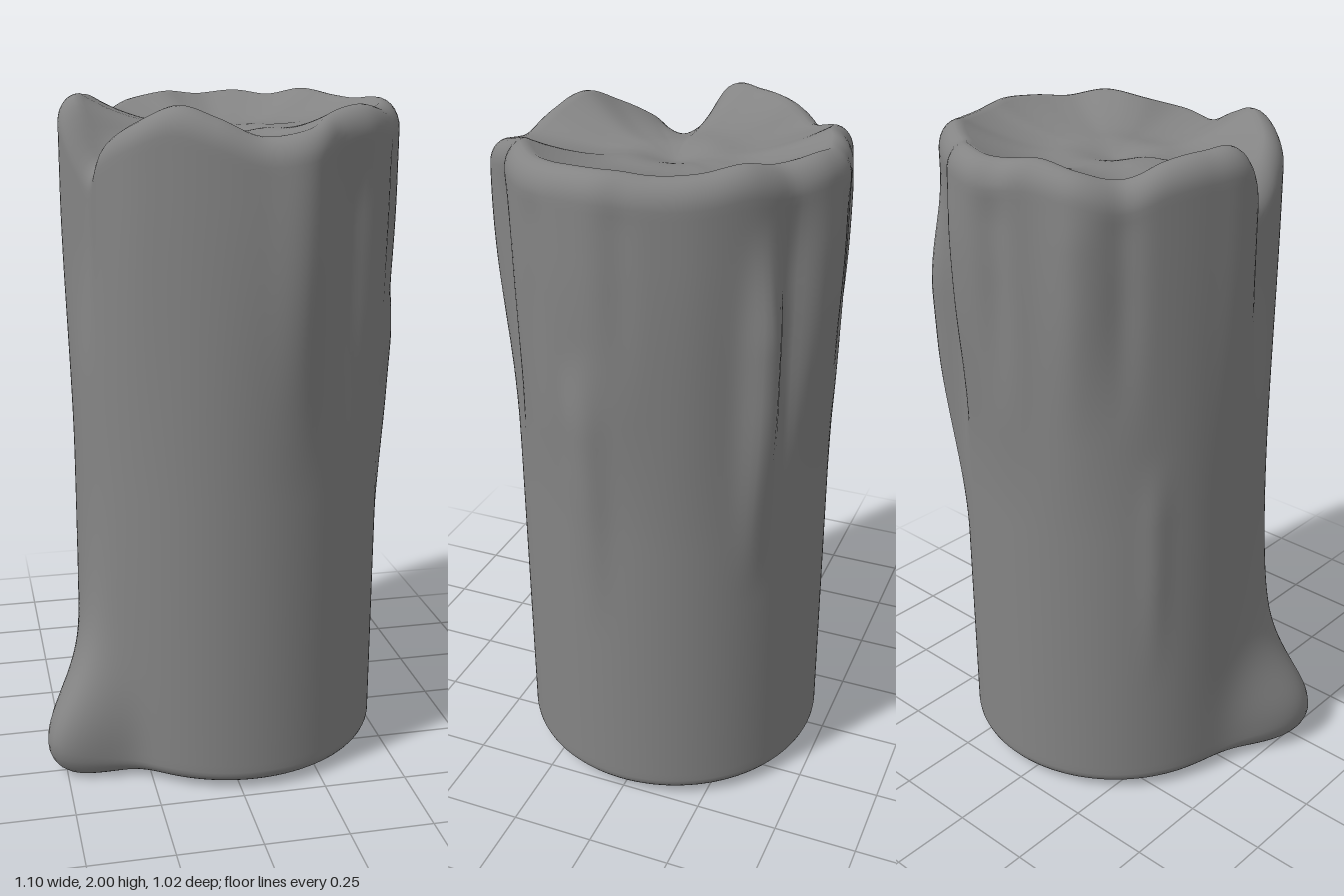
import * as THREE from 'three';
import { mergeVertices } from 'three/addons/utils/BufferGeometryUtils.js';

const CX = 0.047, RADIUS = 0.468, SEG = 180, BASE = 0.018, POOL = 1.893;

// Values every 15 degrees, starting at +x and turning toward +z
const topRadius = [0.505, 0.499, 0.497, 0.487, 0.474, 0.515, 0.49, 0.477, 0.475, 0.48, 0.468, 0.455,
  0.488, 0.475, 0.475, 0.488, 0.497, 0.482, 0.515, 0.507, 0.485, 0.49, 0.493, 0.492];
const rimHeight = [1.985, 1.98, 1.97, 1.985, 1.965, 1.93, 1.915, 1.96, 1.992, 1.95, 1.895, 1.82,
  1.985, 1.995, 1.98, 1.94, 1.965, 1.985, 1.975, 1.985, 1.975, 1.995, 1.98, 1.975];

// Wax runs and grooves: angle, angular width, lower y, upper y, depth (+ out, - in)
const runs = [
  [8, 4, 0.55, 1.45, 0.02], [14, 3, 0.7, 1.4, 0.01], [27, 4, 1.2, 1.95, -0.013],
  [52, 5, 0.9, 1.95, -0.025], [62, 4, 1.2, 1.9, -0.01], [78, 6, 1.1, 1.95, 0.008],
  [-5, 4, 1.3, 1.95, -0.01], [-51, 4.5, 0.7, 1.8, 0.05], [-61, 3.5, 0.9, 1.93, -0.025],
  [-74, 5, 1.1, 1.9, 0.012], [-92, 4, 1.2, 1.95, -0.025], [-120, 5, 1.2, 1.9, 0.012],
  [-135, 4, 1.2, 1.95, -0.015], [-146, 3.5, 0.35, 1.1, 0.009], [163, 6, 1.2, 1.9, -0.015],
];

const smooth = THREE.MathUtils.smoothstep;
const angleDiff = (a, b) => ((a - b + 540) % 360 + 360) % 360 - 180;

// Smooth periodic interpolation of a ring table
function ring(table, deg) {
  const n = table.length, f = deg / 360 * n, i = Math.floor(f), t = f - i;
  const [a, b, c, d] = [-1, 0, 1, 2].map(k => table[(i + k + n) % n]);
  return b + 0.5 * t * (c - a + t * (2 * a - 5 * b + 4 * c - d + t * (3 * (b - c) + d - a)));
}

// Foot of spilled wax: share of its full reach at an angle, and reach at a height
function spillShare(deg) {
  const d = angleDiff(deg, 154);
  return Math.exp(-0.5 * (d / (d > 0 ? 12.5 : 8.5)) ** 2);
}
function spill(deg, y) {
  const up = Math.max(0, y - 0.1);
  return 0.19 * spillShare(deg) * (0.72 * Math.exp(-((up / 0.21) ** 2)) + 0.28 * Math.exp(-((up / 0.5) ** 2)));
}

function sideRadius(deg, y) {
  let r = RADIUS + (ring(topRadius, deg) - RADIUS) * smooth(y, 0.9, 1.75) + spill(deg, y);
  for (const [angle, width, y0, y1, depth] of runs) {
    const mid = y0 + (y1 - y0) * 0.6;
    const along = smooth(y, y0, mid) * (1 - smooth(y, mid + 0.15, y1 + 0.08));
    r += depth * along * Math.exp(-0.5 * (angleDiff(deg, angle) / width) ** 2);
  }
  return r;
}

// Each row returns [radius, height] for an angle, from under the base to the pool centre
function buildRows() {
  const rows = [], lip = 0.06, lipDrop = 0.075;
  const floor = deg => BASE * (1 - spillShare(deg));
  const edge = deg => 0.04 + 0.06 * spillShare(deg);
  for (let i = 0; i <= 6; i++)
    rows.push(deg => [(sideRadius(deg, 0.05) - edge(deg)) * i / 6, BASE + (floor(deg) - BASE) * (i / 6) ** 4]);
  for (let i = 1; i <= 6; i++) {
    const a = i / 6 * Math.PI / 2;
    rows.push(deg => {
      const y = floor(deg) + edge(deg) * (1 - Math.cos(a));
      return [sideRadius(deg, y) - edge(deg) * (1 - Math.sin(a)), y];
    });
  }
  for (let i = 1; i <= 80; i++)
    rows.push(deg => {
      const y0 = floor(deg) + edge(deg), y = y0 + (ring(rimHeight, deg) - lipDrop - y0) * i / 80;
      return [sideRadius(deg, y), y];
    });
  for (let i = 1; i <= 7; i++) {
    const a = i / 7 * Math.PI / 2;
    rows.push(deg => {
      const h = ring(rimHeight, deg);
      return [sideRadius(deg, h - lipDrop) - lip * (1 - Math.cos(a)), h - lipDrop * (1 - Math.sin(a))];
    });
  }
  // Melted pool: sinks gently from the rim, with a dimple in the middle
  for (let i = 1; i <= 28; i++) {
    const t = 1 - i / 28;
    rows.push(deg => {
      const h = ring(rimHeight, deg), r = (sideRadius(deg, h - lipDrop) - lip) * t;
      const wave = 0.006 * Math.sin(deg * Math.PI / 90 + 1) * Math.sin(t * Math.PI) ** 2;
      const dimple = 0.012 * Math.exp(-((r / 0.13 - 1) ** 2) * 4) - 0.012 * Math.exp(-((r / 0.06) ** 2));
      return [r, POOL + (h - POOL) * t ** (h < POOL ? 5 : 2.5) + wave + dimple * (1 - t)];
    });
  }
  return rows;
}

export function createModel() {
  const rows = buildRows(), positions = [], index = [];
  rows.forEach((row, i) => {
    for (let j = 0; j < SEG; j++) {
      const deg = j * 360 / SEG, a = THREE.MathUtils.degToRad(deg);
      const [r, y] = row(deg);
      positions.push(CX + r * Math.cos(a), y, 0.005 + r * Math.sin(a));
      if (i === rows.length - 1) continue;
      const k = (j + 1) % SEG, p = i * SEG, q = p + SEG;
      if (i > 0) index.push(p + j, q + j, p + k);
      else index.push(p + j, q + j, q + k);
      if (i > 0 && i < rows.length - 2) index.push(p + k, q + j, q + k);
    }
  });
  let geometry = new THREE.BufferGeometry();
  geometry.setAttribute('position', new THREE.Float32BufferAttribute(positions, 3));
  geometry.setIndex(index);
  geometry = mergeVertices(geometry, 1e-5);
  geometry.computeVertexNormals();

  const candle = new THREE.Mesh(geometry, new THREE.MeshStandardMaterial({ color: 0x848484 }));
  candle.name = 'meltedCandle';
  const group = new THREE.Group();
  group.name = 'candle';
  group.add(candle);
  return group;
}
